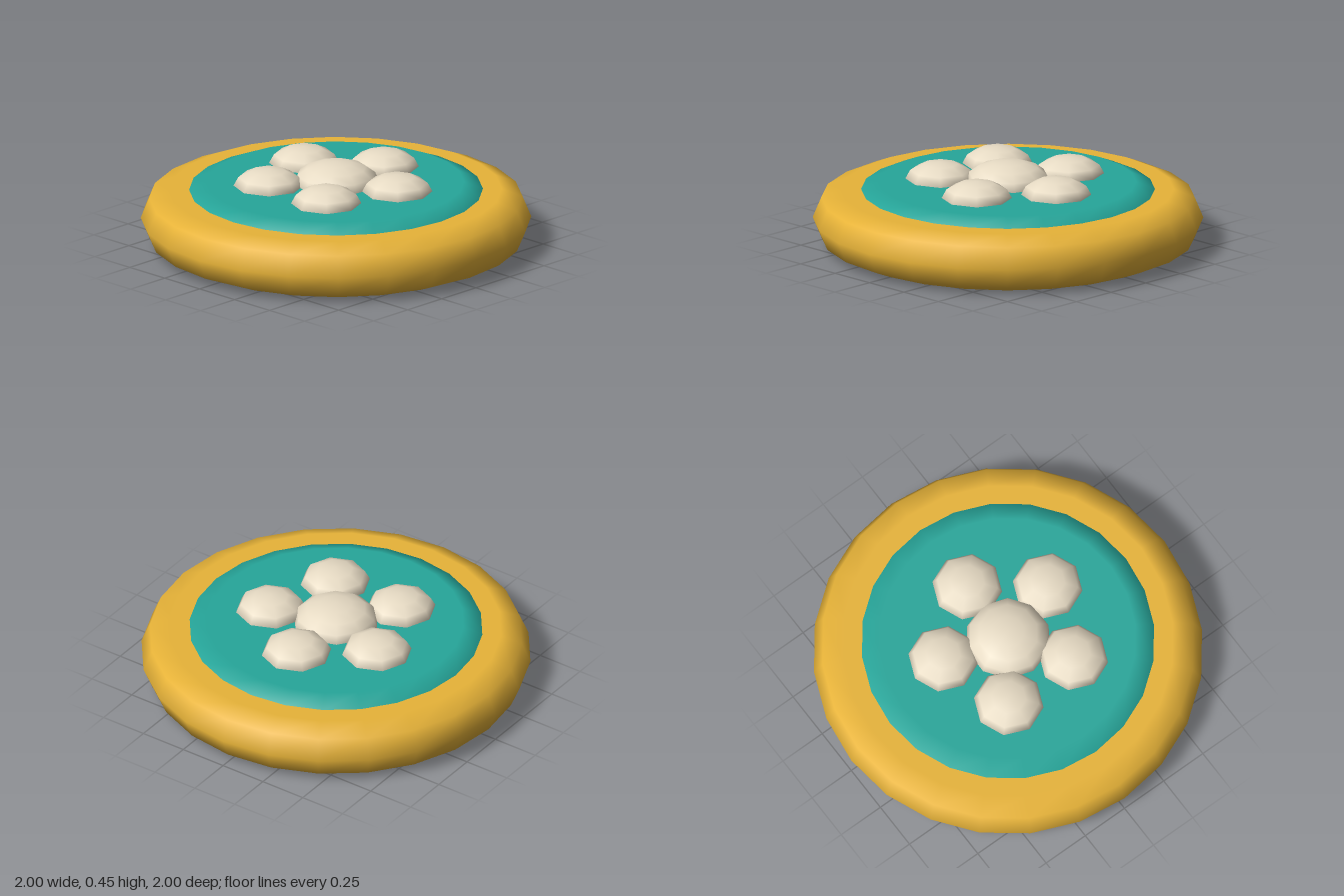
import * as THREE from 'three';

const gold = new THREE.MeshStandardMaterial({ name: 'gold', color: 0xe7b338 });
const teal = new THREE.MeshStandardMaterial({ name: 'teal', color: 0x26a69a });
const cream = new THREE.MeshStandardMaterial({ name: 'cream', color: 0xe8dcc5 });

function mesh(name, geometry, material, parent) {
  const m = new THREE.Mesh(geometry, material);
  m.name = name;
  parent.add(m);
  return m;
}

// Flat disc with a rounded rim: a cylinder core inside a torus
function roundedDisc(name, radius, bottom, top, material) {
  const group = new THREE.Group();
  group.name = name;
  const tube = 0.15;
  const core = new THREE.CylinderGeometry(radius, radius, top - bottom, 24);
  mesh(name + 'Core', core, material, group).position.y = (top + bottom) / 2;
  const rim = new THREE.TorusGeometry(radius, tube, 8, 24).rotateX(Math.PI / 2);
  mesh(name + 'Rim', rim, material, group).position.y = top - tube;
  return group;
}

// Flattened low-sided dome
function dome(name, radius, height, sides, rings, parent) {
  const geometry = new THREE.SphereGeometry(radius, sides, rings);
  geometry.rotateY(Math.PI / 2).scale(1, height / radius, 1);
  return mesh(name, geometry, cream, parent);
}

export function createModel() {
  const model = new THREE.Group();
  model.name = 'flowerDisc';

  // Base, and an inlay running through it that also shows on the underside
  model.add(roundedDisc('base', 0.85, 0.004, 0.3, gold));
  model.add(roundedDisc('inlay', 0.656, 0, 0.34, teal));

  // Flower: centre with five petals, one pointing to the back
  const flower = new THREE.Group();
  flower.name = 'flower';
  flower.position.y = 0.34;
  model.add(flower);
  dome('flowerCentre', 0.22, 0.11, 10, 8, flower);
  for (let i = 0; i < 5; i++) {
    const a = (i / 5) * Math.PI * 2;
    const petal = dome('petal' + (i + 1), 0.18, 0.09, 8, 6, flower);
    petal.position.set(Math.sin(a) * 0.35, 0, -Math.cos(a) * 0.35);
  }
  return model;
}
